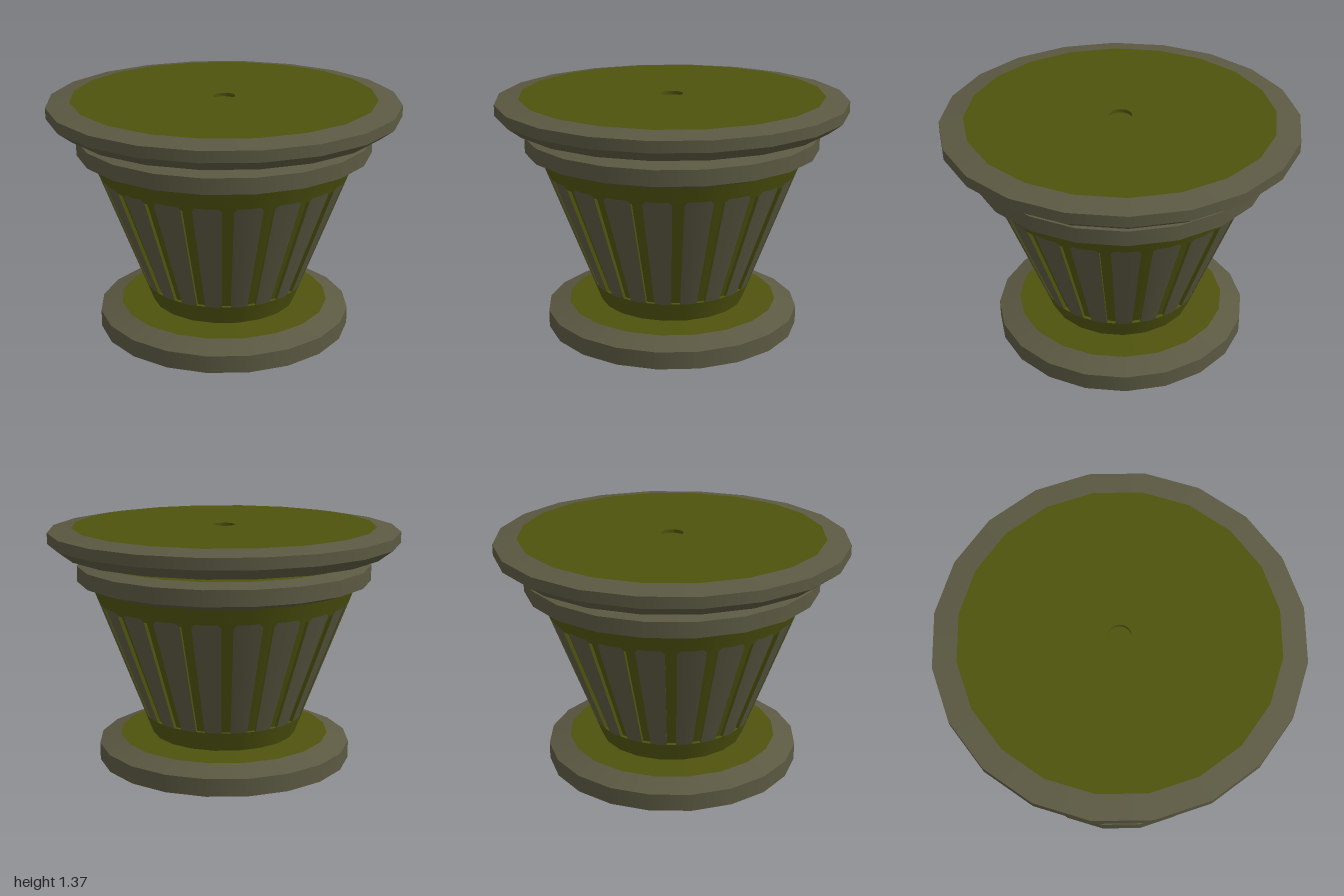
import * as THREE from 'three';
import { mergeGeometries } from 'three/addons/utils/BufferGeometryUtils.js';

const SIDES = 20;
const STEP = (Math.PI * 2) / SIDES;
const START = -2.3 * Math.PI / 180;

// Cone wall of the body
const BOTTOM = { y: 0.15, r: 0.42 }, TOP = { y: 1.03, r: 0.755 };
const SLOPE = (TOP.r - BOTTOM.r) / (TOP.y - BOTTOM.y);
const radiusAt = (y) => BOTTOM.r + (y - BOTTOM.y) * SLOPE;

// Slots cut into the middle of each facet
const RIB_LOW = 0.265, RIB_HIGH = 0.94, SLOT_HIGH = 0.92, DEPTH = 0.022;
const slotHalf = (y) => 0.025 + (y - RIB_LOW) * 0.01;

// Point on facet k at height y, u across the facet, d inwards
function facetPoint(k, y, u, d = 0) {
  const a = START + (k + 0.5) * STEP;
  const n = radiusAt(y) * Math.cos(STEP / 2) - d;
  return new THREE.Vector3(Math.sin(a) * n + Math.cos(a) * u, y, Math.cos(a) * n - Math.sin(a) * u);
}

// Quad, corners counter-clockwise from the front; round = smooth cone normals
function quad(corners, round) {
  const g = new THREE.BufferGeometry().setFromPoints(corners);
  g.setIndex([0, 1, 2, 0, 2, 3]);
  g.computeVertexNormals();
  if (round) {
    corners.forEach((p, i) => {
      const n = new THREE.Vector3(p.x, 0, p.z).normalize().setY(-SLOPE).normalize();
      g.attributes.normal.setXYZ(i, n.x, n.y, n.z);
    });
  }
  return g;
}

export function createModel() {
  const model = new THREE.Group();
  const grey = new THREE.MeshStandardMaterial({ color: 0x5b5942, side: THREE.DoubleSide });
  grey.name = 'warm grey';
  const olive = new THREE.MeshStandardMaterial({ color: 0x4f530e, side: THREE.DoubleSide });
  olive.name = 'dark olive';

  const add = (name, geometry, material) => {
    const mesh = new THREE.Mesh(geometry, material);
    mesh.name = name;
    model.add(mesh);
  };

  // Turned surface: smooth around, sharp between profile points
  const turned = (name, material, profile) => {
    const bands = [];
    for (let i = 0; i + 1 < profile.length; i++) {
      const pts = [profile[i], profile[i + 1]].map(([r, y]) => new THREE.Vector2(r, y));
      const band = new THREE.LatheGeometry(pts, SIDES, START, Math.PI * 2);
      band.deleteAttribute('uv');
      bands.push(band);
    }
    add(name, mergeGeometries(bands), material);
  };

  // Open foot
  turned('footRim', grey, [[0.735, 0], [0.735, 0.1], [0.61, 0.145]]);
  turned('footTop', olive, [[0.61, 0.145], [0.42, 0.15]]);

  // Plain bands above and below the ribs
  turned('lowerBand', olive, [[BOTTOM.r, BOTTOM.y], [radiusAt(RIB_LOW), RIB_LOW]]);
  turned('upperBand', olive, [[radiusAt(RIB_HIGH), RIB_HIGH], [TOP.r, TOP.y]]);

  // Ribs and recessed slots
  const ribs = [], slots = [];
  for (let k = 0; k < SIDES; k++) {
    const P = (y, u, d) => facetPoint(k, y, u, d);
    const edge = (y) => radiusAt(y) * Math.sin(STEP / 2);
    const lo = RIB_LOW, hi = SLOT_HIGH, top = RIB_HIGH;
    const a = slotHalf(lo), b = slotHalf(hi);
    ribs.push(
      quad([P(lo, -edge(lo)), P(lo, -a), P(hi, -b), P(hi, -edge(hi))], true),
      quad([P(lo, a), P(lo, edge(lo)), P(hi, edge(hi)), P(hi, b)], true),
      // rounded shoulders of the rib
      quad([P(hi, -edge(hi)), P(hi, -b), P(top, -b * 1.6), P(top, -edge(top))], true),
      quad([P(hi, b), P(hi, edge(hi)), P(top, edge(top)), P(top, b * 1.6)], true),
    );
    slots.push(
      quad([P(hi, -b), P(hi, b), P(top, b * 1.6), P(top, -b * 1.6)], true),
      quad([P(lo, -a, DEPTH), P(lo, a, DEPTH), P(hi, b, DEPTH), P(hi, -b, DEPTH)], true),
      quad([P(lo, -a), P(lo, -a, DEPTH), P(hi, -b, DEPTH), P(hi, -b)]),
      quad([P(lo, a, DEPTH), P(lo, a), P(hi, b), P(hi, b, DEPTH)]),
      quad([P(lo, -a), P(lo, a), P(lo, a, DEPTH), P(lo, -a, DEPTH)]),
      quad([P(hi, -b, DEPTH), P(hi, b, DEPTH), P(hi, b), P(hi, -b)]),
    );
  }
  add('ribs', mergeGeometries(ribs), grey);
  add('slots', mergeGeometries(slots), olive);

  // Collar and neck
  turned('collar', grey, [[TOP.r, 1.03], [0.84, 1.062], [0.84, 1.15], [0.74, 1.172]]);
  turned('neck', olive, [[0.74, 1.172], [0.69, 1.175], [0.69, 1.21], [0.8, 1.215]]);

  // Wide top rim and disc with a shallow centre dimple
  turned('topRim', grey, [[0.8, 1.215], [0.92, 1.22], [1, 1.28], [1, 1.342], [0.866, 1.365]]);
  turned('topDisc', olive, [[0.866, 1.365], [0.064, 1.365]]);
  turned('dimple', olive, [[0.064, 1.365], [0.064, 1.345], [0, 1.345]]);

  return model;
}
